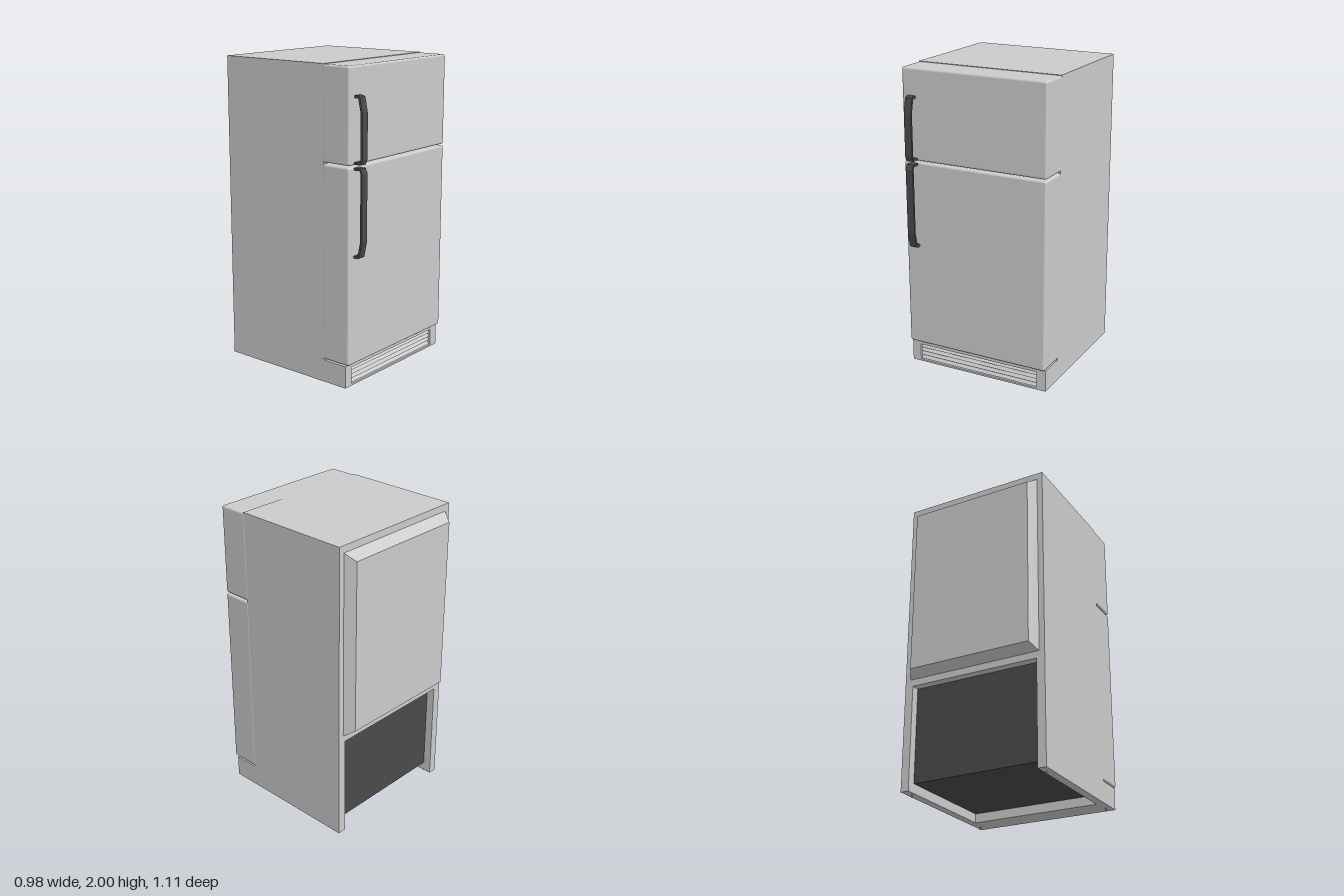
import * as THREE from 'three';
import { RoundedBoxGeometry } from 'three/addons/geometries/RoundedBoxGeometry.js';

const grey = new THREE.MeshStandardMaterial({ color: 0xcccccc });
const dark = new THREE.MeshStandardMaterial({ color: 0x4a4a4a });

function add(parent, name, geometry, material = grey) {
  const mesh = new THREE.Mesh(geometry, material);
  mesh.name = name;
  parent.add(mesh);
  return mesh;
}

// Box given by its lower and upper corners
function boxBetween(x0, x1, y0, y1, z0, z1) {
  return new THREE.BoxGeometry(x1 - x0, y1 - y0, z1 - z0)
    .translate((x0 + x1) / 2, (y0 + y1) / 2, (z0 + z1) / 2);
}

const polygon = (points) => new THREE.Shape(points.map(([x, y]) => new THREE.Vector2(x, y)));

const extrude = (shape, depth) => new THREE.ExtrudeGeometry(shape, { depth, bevelEnabled: false });

export function createModel() {
  const model = new THREE.Group();
  model.name = 'refrigerator';

  // Cabinet: solid above, with side walls running down around the machine bay
  add(model, 'cabinet', extrude(polygon([
    [-0.49, 0.02], [-0.435, 0.02], [-0.435, 0.7], [0.435, 0.7],
    [0.435, 0.02], [0.49, 0.02], [0.49, 2], [-0.49, 2],
  ]), 0.79).translate(0, 0, -0.49));

  // Recessed dark lining of the bay, seen from behind and below
  add(model, 'machineBay', boxBetween(-0.435, 0.435, 0.08, 0.7, -0.435, 0.3), dark);

  // Raised back panel: a box whose rear face is drawn in on all sides
  const panel = new THREE.BoxGeometry(0.906, 1.21, 0.065);
  const pos = panel.attributes.position;
  for (let i = 0; i < pos.count; i++) {
    if (pos.getZ(i) < 0) {
      pos.setX(i, Math.sign(pos.getX(i)) * 0.416);
      pos.setY(i, Math.sign(pos.getY(i)) * 0.56);
    }
  }
  panel.computeVertexNormals();
  add(model, 'backPanel', panel).position.set(0, 1.35, -0.5225);

  // Doors with softly rounded edges
  for (const [name, y0, y1] of [['freezerDoor', 1.415, 1.997], ['fridgeDoor', 0.17, 1.406]]) {
    add(model, name, new RoundedBoxGeometry(0.984, y1 - y0, 0.205, 3, 0.014))
      .position.set(0, (y0 + y1) / 2, 0.3925);
  }

  // Kick plate: a frame around a recessed grille
  const base = new THREE.Group();
  base.name = 'kickPlate';
  model.add(base);
  const frame = polygon([[-0.49, 0.02], [0.49, 0.02], [0.49, 0.163], [-0.49, 0.163]]);
  frame.holes.push(polygon([[-0.43, 0.032], [-0.43, 0.142], [0.425, 0.142], [0.425, 0.032]]));
  add(base, 'kickPlateFrame', extrude(frame, 0.04).translate(0, 0, 0.43));
  add(base, 'kickPlateBack', boxBetween(-0.49, 0.49, 0.02, 0.163, 0.3, 0.43));
  for (let i = 0; i < 4; i++) {
    const slat = add(base, 'grilleSlat', new THREE.BoxGeometry(0.855, 0.03, 0.006));
    slat.position.set(-0.0025, 0.046 + i * 0.027, 0.449);
    slat.rotation.x = -0.6;
  }

  // Handles: square at the end near the door gap, tapered at the far end
  function addHandle(name, yGap, yEnd) {
    const s = Math.sign(yEnd - yGap);
    const points = [
      [0.49, yGap], [0.543, yGap], [0.556, yGap + s * 0.03], [0.556, yEnd - s * 0.1],
      [0.537, yEnd - s * 0.008], [0.525, yEnd], [0.49, yEnd],
      [0.49, yEnd - s * 0.014], [0.524, yEnd - s * 0.016], [0.543, yEnd - s * 0.105],
      [0.543, yGap + s * 0.03], [0.536, yGap + s * 0.014], [0.49, yGap + s * 0.014],
    ];
    const geometry = extrude(polygon(points), 0.05).rotateY(-Math.PI / 2);
    add(model, name, geometry, dark).position.x = -0.395;
  }
  addHandle('freezerHandle', 1.42, 1.826);
  addHandle('fridgeHandle', 1.4, 0.85);

  // Small levelling pins under the side walls
  for (const x of [-0.455, 0.455]) {
    for (const z of [-0.42, 0.4]) {
      add(model, 'levellingPin', new THREE.CylinderGeometry(0.004, 0.004, 0.03, 8))
        .position.set(x, 0.015, z);
    }
  }
  return model;
}
